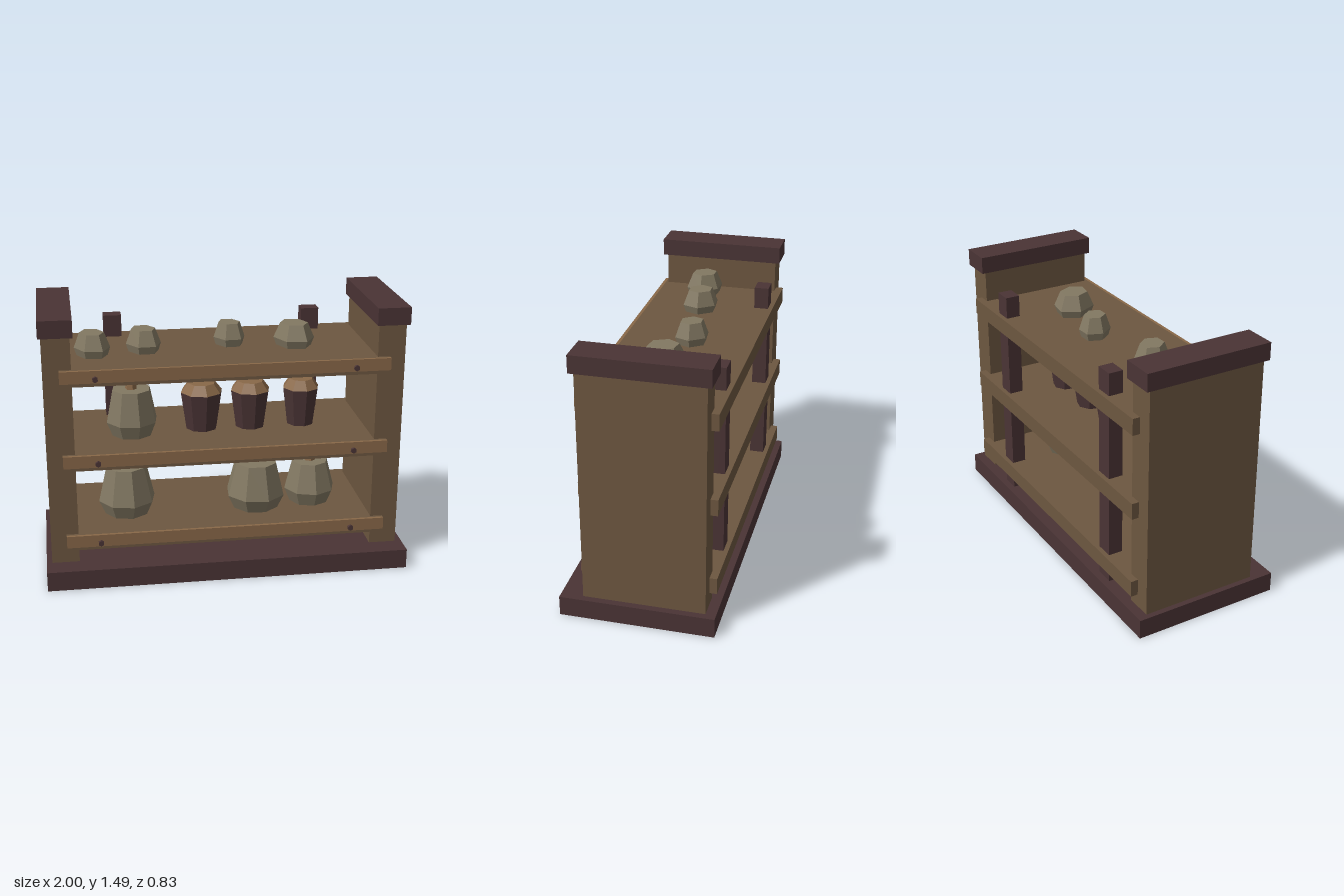
import * as THREE from 'three';

const material = (name, color, extra = {}) => {
  const m = new THREE.MeshStandardMaterial({ color, ...extra });
  m.name = name;
  return m;
};

export function createModel() {
  const model = new THREE.Group();
  model.name = 'displayShelf';
  const wood = material('wood', 0x6d5740, { flatShading: true });
  const trimWood = material('trimWood', 0x896848, { flatShading: true });
  const darkWood = material('darkWood', 0x4a3435, { flatShading: true });
  const clay = material('clay', 0x827862, { flatShading: true });

  const add = (name, geometry, mat, parent = model) => {
    const mesh = new THREE.Mesh(geometry, mat);
    mesh.name = name;
    parent.add(mesh);
    return mesh;
  };
  // Box given by its extents on each axis
  const box = (name, [x0, x1], [y0, y1], [z0, z1], mat) => {
    const mesh = add(name, new THREE.BoxGeometry(x1 - x0, y1 - y0, z1 - z0), mat);
    mesh.position.set((x0 + x1) / 2, (y0 + y1) / 2, (z0 + z1) / 2);
    return mesh;
  };
  // Faceted solid of revolution from [radius, height] pairs
  const turned = (name, points, sides, mat, parent) =>
    add(name, new THREE.LatheGeometry(points.map(([r, y]) => new THREE.Vector2(r, y)), sides), mat, parent);

  // Frame: base, side panels with caps, rear posts
  box('base', [-1, 1], [0, 0.11], [-0.415, 0.415], darkWood);
  for (const [side, x] of [['right', -0.895], ['left', 0.888]]) {
    box(side + 'Panel', [x - 0.075, x + 0.075], [0.11, 1.39], [-0.36, 0.295], wood);
    box(side + 'Cap', [x - 0.09, x + 0.09], [1.39, 1.485], [-0.385, 0.32], darkWood);
  }
  for (const [side, x] of [['right', -0.57], ['left', 0.565]]) {
    box(side + 'RearPost', [x - 0.05, x + 0.05], [0.11, 1.335], [-0.375, -0.295], darkWood);
  }

  // Shelves with front trim and bolts
  for (const top of [0.275, 0.74, 1.212]) {
    box('shelf', [-0.885, 0.88], [top - 0.091, top], [-0.4, 0.31], wood);
    box('shelfTrim', [-0.885, 0.88], [top - 0.068, top], [0.31, 0.327], trimWood);
    for (const x of [-0.7, 0.69]) {
      const bolt = add('bolt', new THREE.CylinderGeometry(0.016, 0.016, 0.025, 6), darkWood);
      bolt.rotation.x = Math.PI / 2;
      bolt.position.set(x, top - 0.045, 0.331);
    }
  }

  // Large stoppered jugs: x, y, z, radius, top radius, height, turn
  const jugs = [
    [-0.535, 0.275, 0.02, 0.162, 0.115, 0.28, 0.2],
    [0.2, 0.275, 0.035, 0.17, 0.122, 0.27, 0.3],
    [0.52, 0.275, 0, 0.147, 0.104, 0.245, 0.1],
    [-0.495, 0.74, 0.01, 0.145, 0.108, 0.262, 0.25],
  ];
  for (const [x, y, z, r, topR, h, turn] of jugs) {
    const jug = new THREE.Group();
    jug.name = 'jug';
    turned('jugBody', [[0, 0], [r * 0.78, 0], [r, 0.08], [topR, h], [0, h]], 8, clay, jug);
    turned('stopper', [[0.033, h], [0.024, h + 0.062], [0, h + 0.062]], 6, trimWood, jug);
    jug.position.set(x, y, z);
    jug.rotation.y = turn;
    model.add(jug);
  }

  // Dark cups with bevelled lids: x, z, rim radius
  for (const [x, z, r] of [[-0.1, -0.03, 0.119], [0.175, -0.025, 0.112], [0.465, -0.03, 0.104]]) {
    const cup = new THREE.Group();
    cup.name = 'cup';
    turned('cupBody', [[0, 0], [r * 0.74, 0], [r, 0.215]], 8, darkWood, cup);
    turned('cupLid', [[r, 0.215], [r * 0.66, 0.267], [0, 0.267]], 8, trimWood, cup);
    cup.position.set(x, 0.74, z);
    cup.rotation.y = 0.15;
    model.add(cup);
  }

  // Small six-sided pots on the top shelf: x, z, radius, turn
  for (const [x, z, r, turn] of [[-0.7, 0.04, 0.094, 0], [-0.42, 0.0, 0.092, 0.1], [0.06, -0.065, 0.084, 0.1], [0.412, 0.0, 0.108, -0.08]]) {
    const pot = turned('smallPot', [[0, 0], [r * 0.86, 0], [r, 0.043], [r * 0.68, 0.126], [0, 0.126]], 6, clay);
    pot.position.set(x, 1.212, z);
    pot.rotation.y = Math.PI / 6 + turn;
    pot.scale.z = 1.15;
  }

  return model;
}
